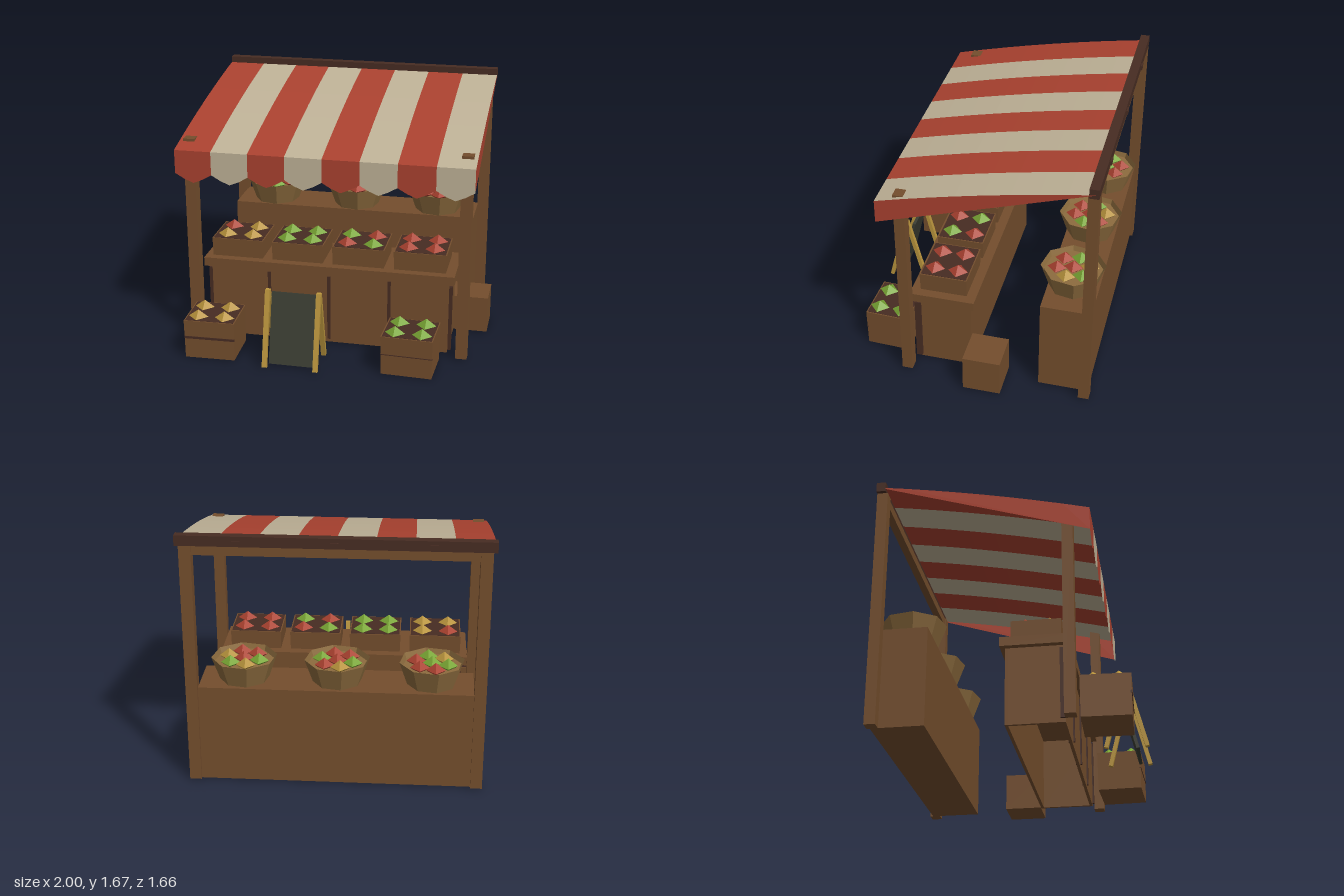
import * as THREE from 'three';

const mat = (name, color, side = THREE.FrontSide) => {
  const m = new THREE.MeshStandardMaterial({ color, side, flatShading: true });
  m.name = name;
  return m;
};

export function createModel() {
  const root = new THREE.Group();
  root.name = 'marketStall';
  const D = THREE.DoubleSide;
  const wood = mat('wood', 0x744e2d);
  const dark = mat('darkWood', 0x472c22);
  const red = mat('red', 0xab4230, D);
  const cream = mat('cream', 0xbfb297, D);
  const gold = mat('gold', 0xb8933c);
  const wicker = mat('wicker', 0x8d6c3e, D);
  const slate = mat('slate', 0x3a3c32);
  const green = mat('green', 0x79a634);

  const add = (name, geo, m, parent = root) => {
    const mesh = new THREE.Mesh(geo, m);
    mesh.name = name;
    parent.add(mesh);
    return mesh;
  };
  // Box given by its limits on each axis
  const box = (name, m, [x0, x1], [y0, y1], [z0, z1], parent = root) => {
    const mesh = add(name, new THREE.BoxGeometry(x1 - x0, y1 - y0, z1 - z0), m, parent);
    mesh.position.set((x0 + x1) / 2, (y0 + y1) / 2, (z0 + z1) / 2);
    return mesh;
  };

  // Posts and rails
  for (const [x0, x1] of [[-0.975, -0.9], [0.835, 0.91]]) {
    box('frontPost', wood, [x0, x1], [0.01, 1.41], [0.37, 0.44]);
    box('backPost', wood, [x0, x1], [0.01, 1.61], [-0.82, -0.75]);
  }
  box('backRail', wood, [-0.9, 0.835], [1.55, 1.61], [-0.81, -0.76]);
  box('ridgeBeam', dark, [-1, 0.935], [1.61, 1.675], [-0.82, -0.76]);
  for (const x of [-0.625, -0.03, 0.56]) box('beamPeg', dark, [x - 0.025, x + 0.025], [1.62, 1.65], [-0.83, -0.81]);

  // Awning: striped sheet with a scalloped valance
  const awning = new THREE.Group();
  awning.name = 'awning';
  root.add(awning);
  const N = 8, W = 1.935 / N, zBack = -0.81, zFront = 0.55;
  const roofY = t => 1.64 - 0.275 * t + 0.08 * t * (1 - t);
  for (let i = 0; i < N; i++) {
    const m = i % 2 ? cream : red, x = -1 + W * (i + 0.5);
    const sheet = new THREE.PlaneGeometry(W, 1, 1, 8), p = sheet.attributes.position;
    for (let k = 0; k < p.count; k++) {
      const t = 0.5 - p.getY(k);
      p.setXYZ(k, p.getX(k) + x, roofY(t), zBack + (zFront - zBack) * t);
    }
    sheet.computeVertexNormals();
    add('awningStripe', sheet, m, awning);
    const flap = new THREE.Shape([[-0.5, 1.365], [-0.5, 1.21], [-0.25, 1.175], [0, 1.15],
      [0.25, 1.175], [0.5, 1.21], [0.5, 1.365]].map(([u, y]) => new THREE.Vector2(u * W, y)));
    add('awningScallop', new THREE.ShapeGeometry(flap), m, awning).position.set(x, 0, zFront);
  }
  // Awning side cheeks
  const cheek = new THREE.Shape();
  cheek.moveTo(zFront, 1.21);
  for (let k = 8; k >= 0; k--) cheek.lineTo(zBack + (zFront - zBack) * k / 8, roofY(k / 8));
  for (const x of [-1, 0.935]) {
    add('awningSide', new THREE.ShapeGeometry(cheek).rotateY(-Math.PI / 2), red, awning).position.x = x;
  }

  // Counter: hollow below, with dark battens on the front
  box('counterFront', wood, [-0.84, 0.77], [0.01, 0.51], [0.345, 0.365]);
  box('counterBack', wood, [-0.84, 0.77], [0.01, 0.51], [0, 0.02]);
  for (const x of [-0.84, 0.75]) box('counterEnd', wood, [x, x + 0.02], [0.01, 0.51], [0.02, 0.345]);
  box('counterTop', wood, [-0.88, 0.81], [0.51, 0.57], [-0.03, 0.4]);
  for (let i = 0; i < 5; i++) {
    const x = -0.845 + i * 0.4075;
    box('counterBatten', dark, [x - 0.01, x + 0.01], [0.035, 0.49], [0.335, 0.375]);
  }

  // Back table and side box
  box('backTable', wood, [-0.905, 0.835], [0.01, 0.66], [-0.8, -0.47]);
  box('sideBox', wood, [0.745, 1], [0.01, 0.26], [-0.25, -0.002]);

  // Faceted fruit
  const fruitGeo = new THREE.OctahedronGeometry(1);
  const kinds = { r: red, g: green, y: gold };
  const fruit = (kind, x, y, z, r, h, parent) => {
    const f = add('fruit', fruitGeo, kinds[kind], parent);
    f.position.set(x, y, z);
    f.scale.set(r, h, r);
  };

  // Crate, slightly tapered, with four fruits (back pair first)
  const crate = (x, y, z, w, h, d, turn, fruits, band) => {
    const g = new THREE.Group();
    g.name = 'crate';
    g.position.set(x, y, z);
    g.rotation.y = turn;
    root.add(g);
    const geo = new THREE.BoxGeometry(w, h, d), p = geo.attributes.position;
    for (let k = 0; k < p.count; k++) {
      if (p.getY(k) < 0) p.setXYZ(k, p.getX(k) * 0.98, p.getY(k), p.getZ(k) * 0.98);
    }
    geo.computeVertexNormals();
    add('crateBody', geo, wood, g).position.y = h / 2;
    box('crateInside', dark, [-w / 2 + 0.008, w / 2 - 0.008], [h - 0.003, h + 0.002], [-d / 2 + 0.008, d / 2 - 0.008], g);
    if (band) box('crateBand', dark, [-w / 2, w / 2], [h * 0.52, h * 0.52 + band], [d / 2 - 0.01, d / 2 + 0.002], g);
    [...fruits].forEach((k, i) => {
      const sx = i % 2 ? 1 : -1, sz = i < 2 ? -1 : 1;
      fruit(k, sx * 0.088, h + 0.004, sz * 0.077, 0.066, 0.048, g);
    });
  };
  ['ryyy', 'gggg', 'grrg', 'rrrr'].forEach((f, i) =>
    crate(-0.66 + i * 0.4117, 0.57, 0.188, 0.35, 0.125, 0.315, 0, f, 0));
  crate(-0.752, 0.003, 0.605, 0.338, 0.264, 0.305, 0.03, 'yyyy', 0.016);
  crate(0.56, 0.003, 0.592, 0.338, 0.264, 0.295, -0.04, 'gggg', 0.005);

  // Wicker baskets on the back table
  const basketFruits = ['rgygrrg', 'grrgyrr', 'yrrgygr'];
  [-0.635, -0.035, 0.56].forEach((x, i) => {
    const g = new THREE.Group();
    g.name = 'basket';
    g.position.set(x, 0.66, -0.625);
    root.add(g);
    const wall = add('basketWall', new THREE.CylinderGeometry(0.21, 0.158, 0.15, 8, 1, true), wicker, g);
    wall.position.y = 0.075;
    const fill = add('basketFill', new THREE.CylinderGeometry(0.19, 0.157, 0.12, 8), wicker, g);
    fill.position.y = 0.062;
    wall.rotation.y = fill.rotation.y = 0.2;
    [...basketFruits[i]].forEach((k, j) => {
      const a = j * Math.PI / 3 + 0.3, r = j < 6 ? 0.105 : 0;
      fruit(k, Math.cos(a) * r, 0.135, Math.sin(a) * r, 0.062, 0.05, g);
    });
  });

  // Chalkboard easel
  const easel = new THREE.Group();
  easel.name = 'chalkboard';
  root.add(easel);
  // Bar leaning in the z-y plane from foot to head
  const lean = (name, m, x, w, t, [z0, y0], [z1, y1]) => {
    const b = add(name, new THREE.BoxGeometry(w, Math.hypot(z1 - z0, y1 - y0), t), m, easel);
    b.position.set(x, (y0 + y1) / 2, (z0 + z1) / 2);
    b.rotation.x = Math.atan2(z1 - z0, y1 - y0);
  };
  for (const x of [-0.36, -0.023]) {
    lean('easelFrontLeg', gold, x, 0.032, 0.026, [0.816, 0.013], [0.69, 0.507]);
    lean('easelBackLeg', gold, x, 0.032, 0.026, [0.56, 0.013], [0.686, 0.507]);
  }
  lean('easelBoard', slate, -0.192, 0.306, 0.02, [0.755, 0.012], [0.64, 0.475]);
  return root;
}
